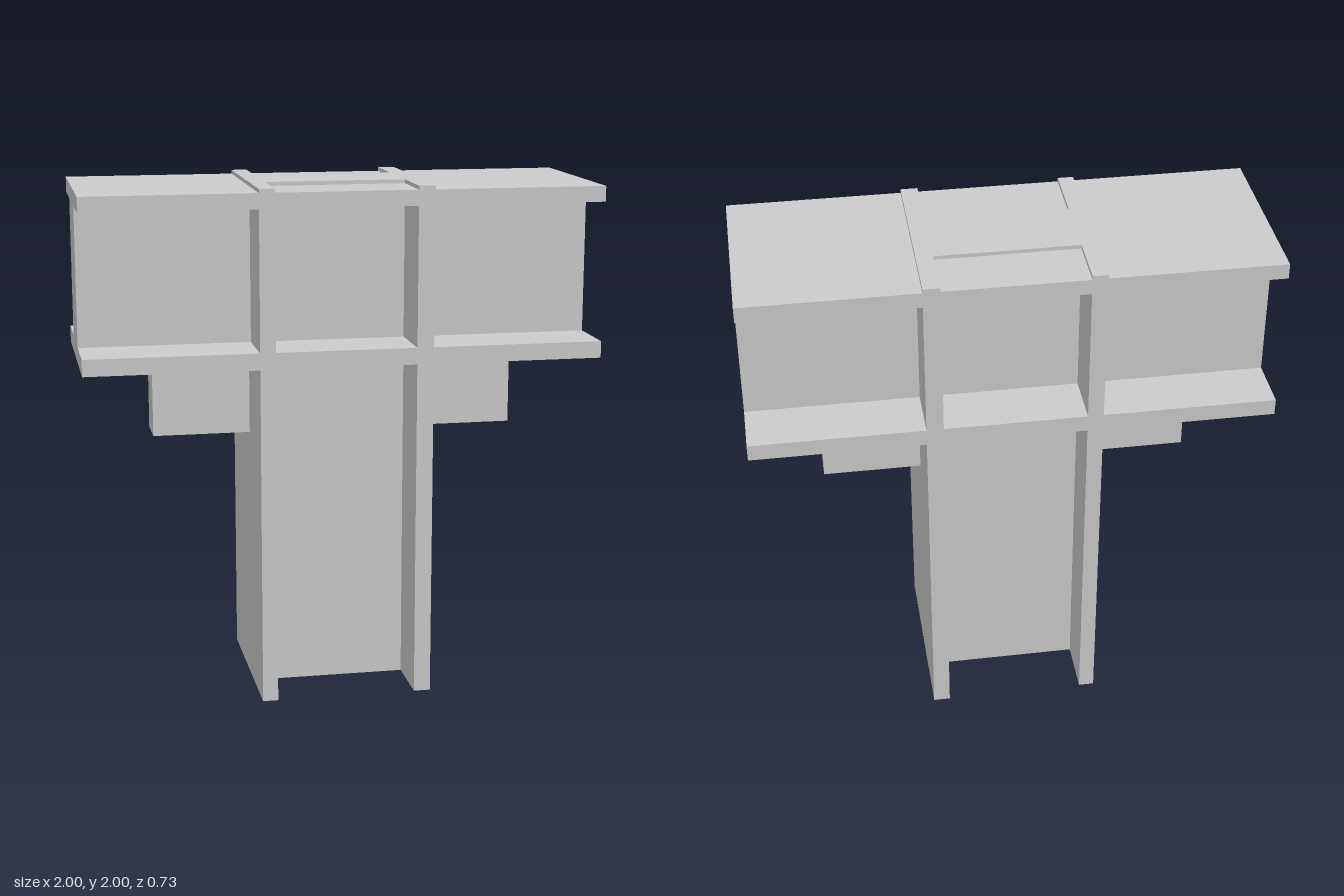
import * as THREE from 'three';

const material = new THREE.MeshStandardMaterial({ color: 0xcccccc, flatShading: true });

// Box given by its lower and upper bounds on each axis
function block(name, [x0, x1], [y0, y1], [z0, z1]) {
  const geometry = new THREE.BoxGeometry(x1 - x0, y1 - y0, z1 - z0);
  geometry.translate((x0 + x1) / 2, (y0 + y1) / 2, (z0 + z1) / 2);
  const mesh = new THREE.Mesh(geometry, material);
  mesh.name = name;
  return mesh;
}

export function createModel() {
  const model = new THREE.Group();
  model.name = 'steelBeamColumnJoint';

  const depth = [-0.365, 0.365];
  const webZ = [-0.145, 0.127];
  const bracketZ = [-0.09, 0.074];
  const inner = [-0.275, 0.27];
  const outer = [-0.335, 0.335];
  const lowerFlange = [1.32, 1.385];
  const upperFlange = [1.925, 1.985];
  const beamWeb = [lowerFlange[1], upperFlange[0]];

  // H-section column
  const column = new THREE.Group();
  column.name = 'column';
  column.add(
    block('columnFlangeRight', [outer[0], inner[0]], [0, 2], depth),
    block('columnFlangeLeft', [inner[1], outer[1]], [0, 2], depth),
    block('columnWeb', inner, [0, 2], webZ),
  );
  model.add(column);

  // Stiffener plates between the column flanges, in front of and behind the web
  for (const [level, y] of [['lower', lowerFlange], ['upper', upperFlange]]) {
    model.add(
      block(level + 'StiffenerFront', inner, y, [webZ[1], depth[1]]),
      block(level + 'StiffenerBack', inner, y, [depth[0], webZ[0]]),
    );
  }

  // I-section beam arm and support bracket on each side
  for (const [side, x, bracketX] of [
    ['Right', [-1, outer[0]], [-0.715, outer[0]]],
    ['Left', [outer[1], 1], [outer[1], 0.715]],
  ]) {
    const beam = new THREE.Group();
    beam.name = 'beam' + side;
    beam.add(
      block('beamLowerFlange', x, lowerFlange, depth),
      block('beamUpperFlange', x, upperFlange, depth),
      block('beamWeb', x, beamWeb, webZ),
    );
    model.add(beam, block('bracket' + side, bracketX, [1.015, lowerFlange[0]], bracketZ));
  }

  return model;
}
